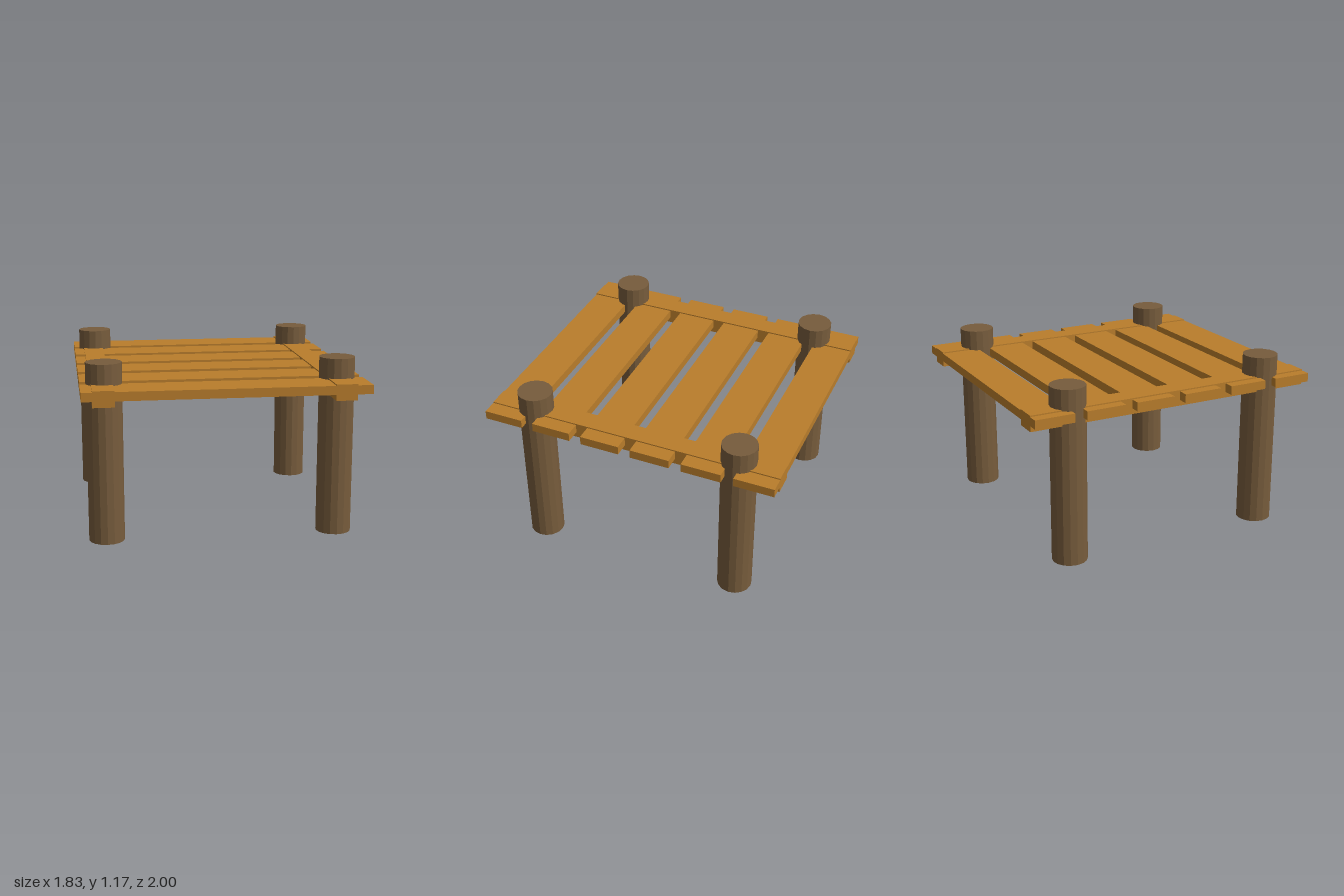
import * as THREE from 'three';

export function createModel() {
  const model = new THREE.Group();
  const postWood = new THREE.MeshStandardMaterial({ color: 0x775c3c, flatShading: true });
  const plankWood = new THREE.MeshStandardMaterial({ color: 0xb97d2b, flatShading: true });

  const add = (name, geometry, material, x, y, z) => {
    const mesh = new THREE.Mesh(geometry, material);
    mesh.name = name;
    mesh.position.set(x, y, z);
    model.add(mesh);
  };

  // Four round corner posts rising through the deck
  const postHeight = 1.172;
  const post = new THREE.CylinderGeometry(0.116, 0.116, postHeight, 16);
  for (const x of [-0.761, 0.745]) {
    for (const z of [-0.711, 0.711]) add('post', post, postWood, x, postHeight / 2, z);
  }

  // Two long rails, slightly thicker than the planks they carry
  const rail = new THREE.BoxGeometry(0.138, 0.104, 2);
  for (const x of [-0.777, 0.741]) add('rail', rail, plankWood, x, 0.991, 0);

  // Six evenly spaced deck planks
  const count = 6, width = 0.266;
  const pitch = (2 - width) / (count - 1);
  const plank = new THREE.BoxGeometry(1.826, 0.058, width);
  for (let i = 0; i < count; i++) {
    add('plank', plank, plankWood, -0.002, 1.006, -1 + width / 2 + i * pitch);
  }

  return model;
}
